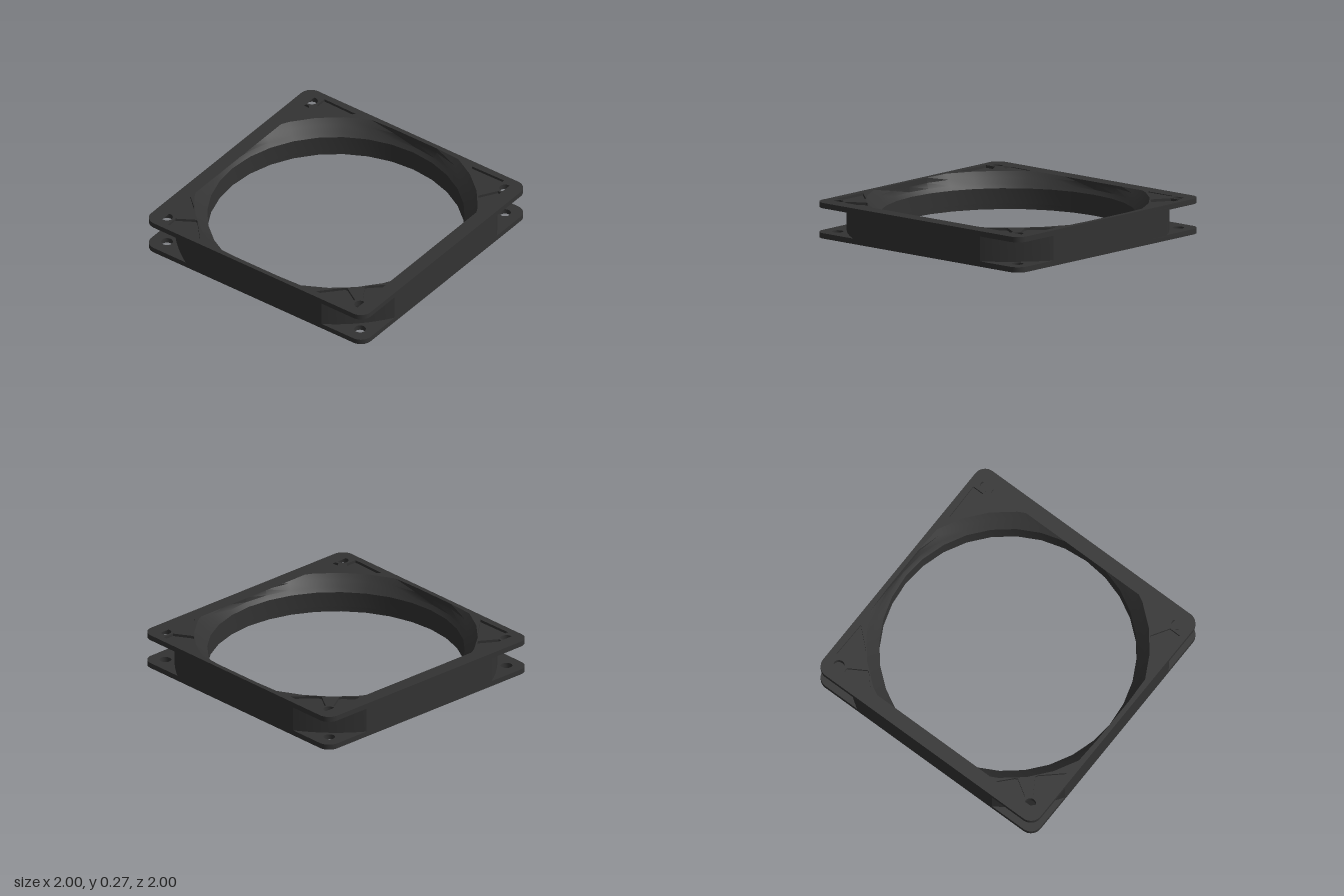
import * as THREE from 'three';
import { toCreasedNormals } from 'three/addons/utils/BufferGeometryUtils.js';

const HEIGHT = 0.265, FLANGE = 0.04, BORE = 0.94, MOUTH = 1.035, FLAT = 0.965, SIDES = 32;
const CORNERS = [[1, 1], [-1, 1], [-1, -1], [1, -1]];
const material = new THREE.MeshStandardMaterial({ color: 0x333333, side: THREE.DoubleSide });

// Radius at an angle, limited by the flat sides of the frame
const clipped = (r, a) => Math.min(r, FLAT / Math.max(Math.abs(Math.cos(a)), Math.abs(Math.sin(a))));

const ring = (r) => Array.from({ length: SIDES }, (_, i) => {
  const a = (i / SIDES) * Math.PI * 2, q = clipped(r, a);
  return new THREE.Vector2(q * Math.cos(a), q * Math.sin(a));
});

function circle(x, y, r) {
  return new THREE.Path().absarc(x, y, r, 0, Math.PI * 2);
}

function roundedSquare() {
  const r = 0.09, c = 1 - r, s = new THREE.Shape();
  CORNERS.forEach(([x, y], i) => s.absarc(x * c, y * c, r, i * Math.PI / 2, (i + 1) * Math.PI / 2));
  return s.closePath();
}

// Square whose corners are cut back by a large cylinder
function wallOutline() {
  const R = Math.hypot(1, 0.62), a = Math.atan(0.62), s = new THREE.Shape();
  for (let i = 0; i < 4; i++) {
    s.absarc(0, 0, R, i * Math.PI / 2 + a, (i + 1) * Math.PI / 2 - a);
  }
  return s.closePath();
}

function slab(name, shape, y, depth) {
  const g = new THREE.ExtrudeGeometry(shape, { depth, bevelEnabled: false, curveSegments: 10 });
  g.rotateX(-Math.PI / 2).translate(0, y, 0);
  const mesh = new THREE.Mesh(toCreasedNormals(g, 0.5), material);
  mesh.name = name;
  return mesh;
}

function flange(openingRadius, pockets) {
  const s = roundedSquare();
  s.holes.push(new THREE.Path(ring(openingRadius)));
  for (const [x, y] of CORNERS) {
    s.holes.push(circle(x * 0.88, y * 0.88, 0.043));
    if (!pockets) continue;
    const p = [[0.95, 0.82], [0.86, 0.82], [0.78, 0.69], [0.79, 0.67], [0.945, 0.53]];
    s.holes.push(new THREE.Path(p.map(([u, v]) => new THREE.Vector2(x * u, y * v))));
    s.holes.push(new THREE.Path(p.map(([u, v]) => new THREE.Vector2(x * v, y * u))));
  }
  return s;
}

// Inner surface band lofted through [radius, y] rings
function liner(name, rings) {
  const pos = [], idx = [], n = SIDES;
  rings.forEach(([r, y], k) => {
    ring(r).forEach((p) => pos.push(p.x, y, p.y));
    if (k === 0) return;
    for (let i = 0; i < n; i++) {
      const a = (k - 1) * n + i, b = (k - 1) * n + (i + 1) % n;
      idx.push(a, b, a + n, b, b + n, a + n);
    }
  });
  const g = new THREE.BufferGeometry();
  g.setAttribute('position', new THREE.Float32BufferAttribute(pos, 3));
  g.setIndex(idx);
  const mesh = new THREE.Mesh(toCreasedNormals(g, 0.5), material);
  mesh.name = name;
  return mesh;
}

export function createModel() {
  const group = new THREE.Group();
  group.name = 'fanFrame';
  const top = HEIGHT - FLANGE;

  // Bottom flange, outer wall, and top flange with sunken corner pockets
  group.add(slab('bottomFlange', flange(BORE, false), 0, FLANGE));
  const wall = wallOutline();
  wall.holes.push(new THREE.Path(ring(MOUTH)));
  group.add(slab('outerWall', wall, FLANGE, top - FLANGE));
  group.add(slab('topFlangeBase', flange(MOUTH, false), top, FLANGE / 2));
  group.add(slab('topFlange', flange(MOUTH, true), top + FLANGE / 2, FLANGE / 2));

  // Round bore and flared mouth
  group.add(liner('bore', [[BORE, 0], [BORE, 0.155]]));
  group.add(liner('flaredMouth', [[BORE, 0.155], [FLAT, 0.185], [1, 0.225], [MOUTH, HEIGHT]]));

  // Thin cover strips along the front and back edges
  for (const side of [1, -1]) {
    const s = new THREE.Shape();
    s.moveTo(-1, 0.89).lineTo(1, 0.89).lineTo(1, 0.91);
    s.absarc(0.91, 0.91, 0.09, 0, Math.PI / 2);
    s.absarc(-0.91, 0.91, 0.09, Math.PI / 2, Math.PI);
    const g = new THREE.ShapeGeometry(s, 10).rotateX(-Math.PI / 2);
    if (side > 0) g.rotateY(Math.PI);
    const strip = new THREE.Mesh(g, material);
    strip.position.y = HEIGHT + 0.0008;
    strip.name = side > 0 ? 'frontStrip' : 'backStrip';
    group.add(strip);
  }
  return group;
}
